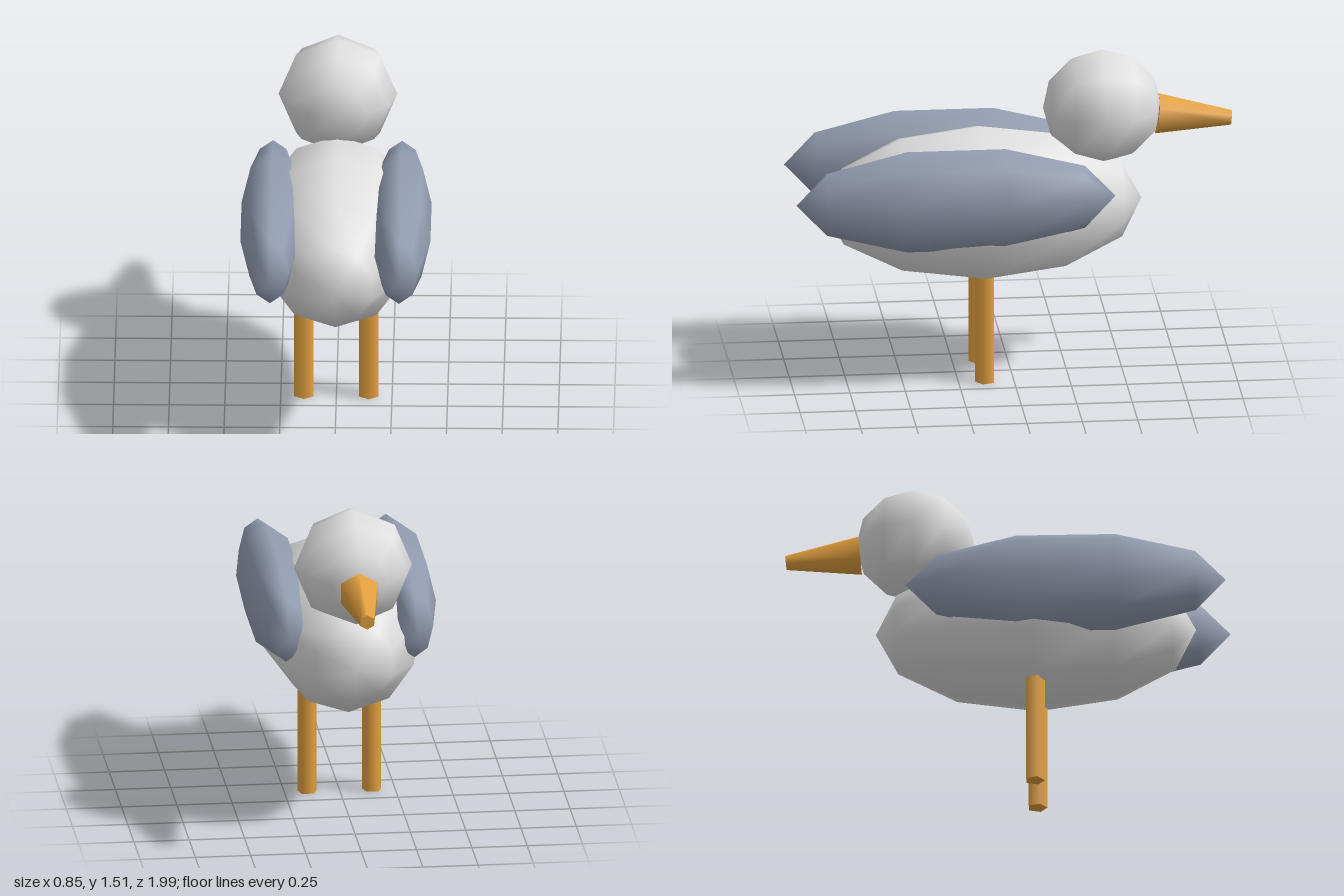
import * as THREE from 'three';

export function createModel() {
  const bird = new THREE.Group();
  bird.name = 'bird';

  const mat = (name, color) => {
    const m = new THREE.MeshStandardMaterial({ color });
    m.name = name;
    return m;
  };
  const white = mat('pale feathers', 0xe0e0e0);
  const slate = mat('slate wing', 0x949eb2);
  const orange = mat('orange', 0xe6a33f);

  const add = (name, geometry, material, x, y, z) => {
    const mesh = new THREE.Mesh(geometry, material);
    mesh.name = name;
    mesh.position.set(x, y, z);
    bird.add(mesh);
    return mesh;
  };

  // Coarse smooth ellipsoid with its poles along z and corners at top and bottom
  const ellipsoid = (rx, ry, rz, sides, rings) =>
    new THREE.SphereGeometry(1, sides, rings)
      .rotateY(Math.PI / 2)
      .rotateX(Math.PI / 2)
      .scale(rx, ry, rz);

  // Body and head
  add('body', ellipsoid(0.36, 0.36, 0.72, 10, 6), white, 0, 0.8, 0.13);
  add('head', ellipsoid(0.267, 0.267, 0.267, 8, 6), white, 0, 1.24, -0.413);

  // Tapered beak, blunt at the tip and dipping slightly
  const beakShape = new THREE.CylinderGeometry(0.035, 0.095, 0.335, 6).rotateX(-Math.PI / 2);
  add('beak', beakShape, orange, 0, 1.181, -0.828).rotation.x = -0.09;

  // Paired wings and legs
  for (const [side, s] of [['left', -1], ['right', 1]]) {
    add(side + 'Wing', ellipsoid(0.144, 0.25, 0.72, 8, 5), slate, s * 0.29, 0.91, 0.275);
    add(side + 'Leg', new THREE.CylinderGeometry(0.046, 0.046, 0.55, 5), orange, s * 0.146, 0.275, 0.13);
  }
  return bird;
}
